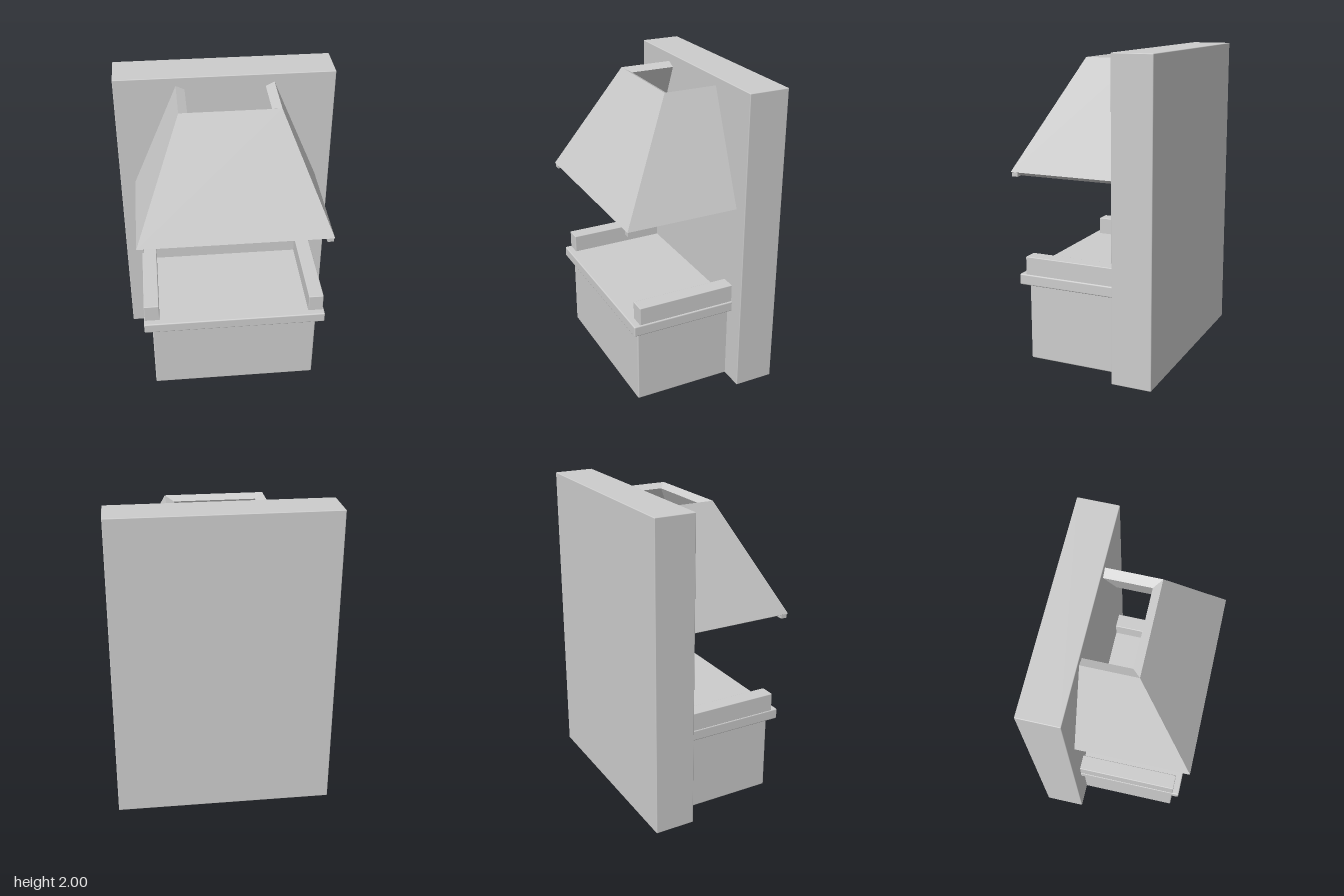
import * as THREE from 'three';
import { RoundedBoxGeometry } from 'three/addons/geometries/RoundedBoxGeometry.js';

const WALL_Z = -0.235; // front plane of the back wall

export function createModel() {
  const stone = new THREE.MeshStandardMaterial({ color: 0xcccccc });
  stone.name = 'greyStone';
  const model = new THREE.Group();
  model.name = 'fireplace';

  // Softly bevelled block given by its minimum and maximum corners
  function block(name, [x0, y0, z0], [x1, y1, z1], bevel = 0.005) {
    const geometry = new RoundedBoxGeometry(x1 - x0, y1 - y0, z1 - z0, 2, bevel);
    const mesh = new THREE.Mesh(geometry, stone);
    mesh.name = name;
    mesh.position.set((x0 + x1) / 2, (y0 + y1) / 2, (z0 + z1) / 2);
    model.add(mesh);
  }

  block('backWall', [-0.7, 0, -0.495], [0.7, 2, WALL_Z]);
  block('hearthBase', [-0.545, 0, WALL_Z - 0.02], [0.545, 0.52, 0.41], 0.008);
  block('hearthSlab', [-0.597, 0.515, WALL_Z - 0.02], [0.597, 0.585, 0.455], 0.008);
  block('rightRail', [-0.593, 0.58, WALL_Z - 0.02], [-0.494, 0.702, 0.412]);
  block('leftRail', [0.491, 0.58, WALL_Z - 0.02], [0.588, 0.702, 0.412]);

  // Hollow hood: rings of [half width, front z, height], outside up then inside down
  const rings = [
    [0.605, 0.495, 1.245],
    [0.31, 0.11, 1.945],
    [0.255, 0.06, 1.918],
    [0.55, 0.445, 1.217],
  ].map(([x, z, y]) => [
    [-x, y, WALL_Z], [-x, y, z], [x, y, z], [x, y, WALL_Z],
  ]);
  const positions = [];
  rings.forEach((ring, r) => {
    const next = rings[(r + 1) % rings.length];
    for (let i = 0; i < 3; i++) {
      const [a, b, c, d] = [ring[i], ring[i + 1], next[i + 1], next[i]];
      positions.push(...a, ...b, ...c, ...a, ...c, ...d);
    }
  });
  const hoodGeometry = new THREE.BufferGeometry();
  hoodGeometry.setAttribute('position', new THREE.Float32BufferAttribute(positions, 3));
  hoodGeometry.computeVertexNormals();
  const hood = new THREE.Mesh(hoodGeometry, stone);
  hood.name = 'hood';
  model.add(hood);

  // Small stubs under the hood's front corners
  for (const side of [-1, 1]) {
    const stub = new THREE.Mesh(new THREE.BoxGeometry(0.04, 0.03, 0.04), stone);
    stub.name = side < 0 ? 'rightHoodCorner' : 'leftHoodCorner';
    stub.position.set(side * 0.58, 1.232, 0.47);
    model.add(stub);
  }

  return model;
}
